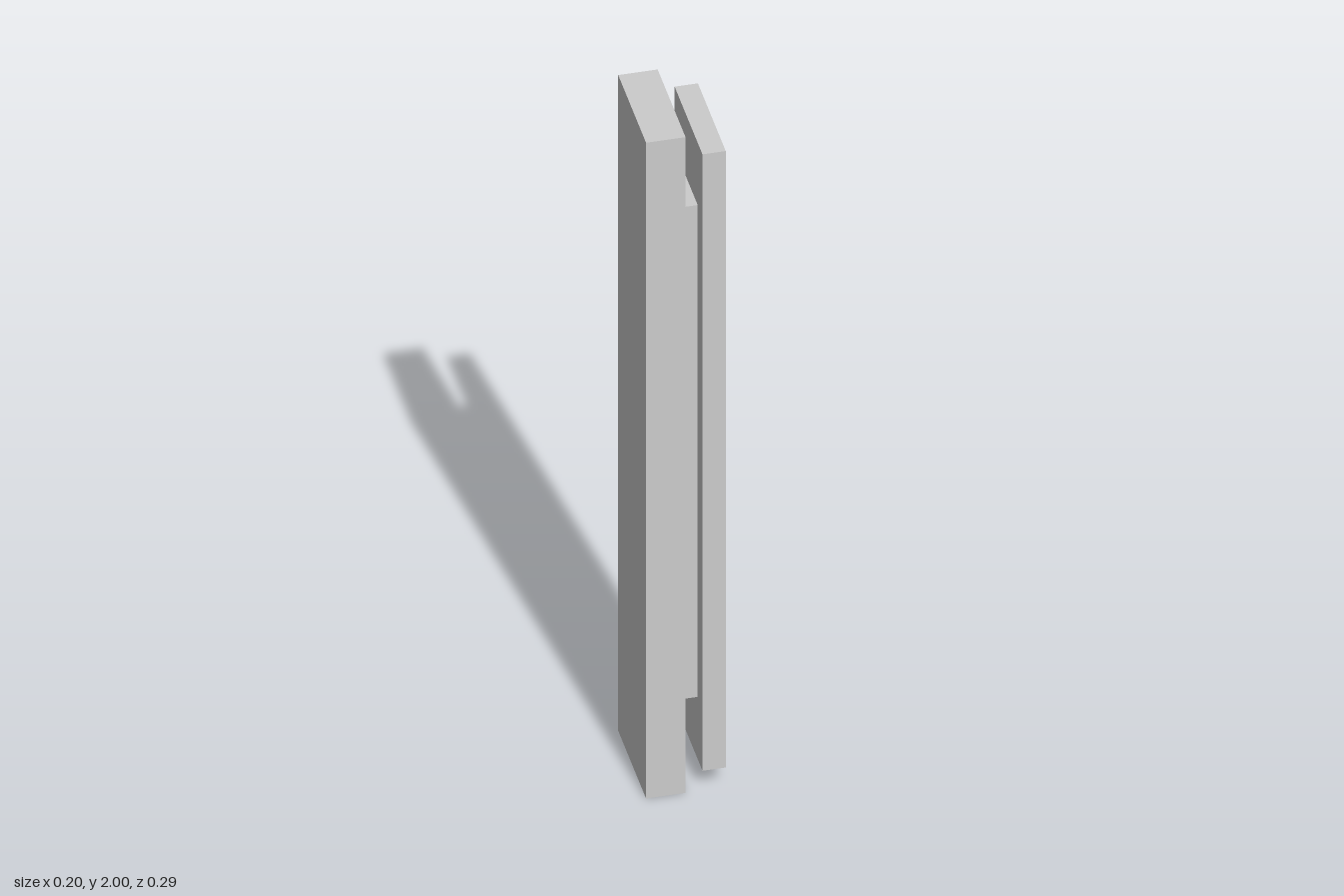
import * as THREE from 'three';

export function createModel() {
  const group = new THREE.Group();
  const material = new THREE.MeshStandardMaterial({ color: 0xcccccc, flatShading: true });

  // Upright slab between two x positions, centred on mid height and z = 0
  const slab = (name, x0, x1, height, depth) => {
    const mesh = new THREE.Mesh(new THREE.BoxGeometry(x1 - x0, height, depth), material);
    mesh.name = name;
    mesh.position.set((x0 + x1) / 2, 1, 0);
    group.add(mesh);
  };

  slab('mainBoard', -0.101, -0.001, 2, 0.291);
  slab('spacer', -0.001, 0.042, 1.5, 0.191);
  slab('coverBoard', 0.042, 0.101, 1.88, 0.291);

  return group;
}
